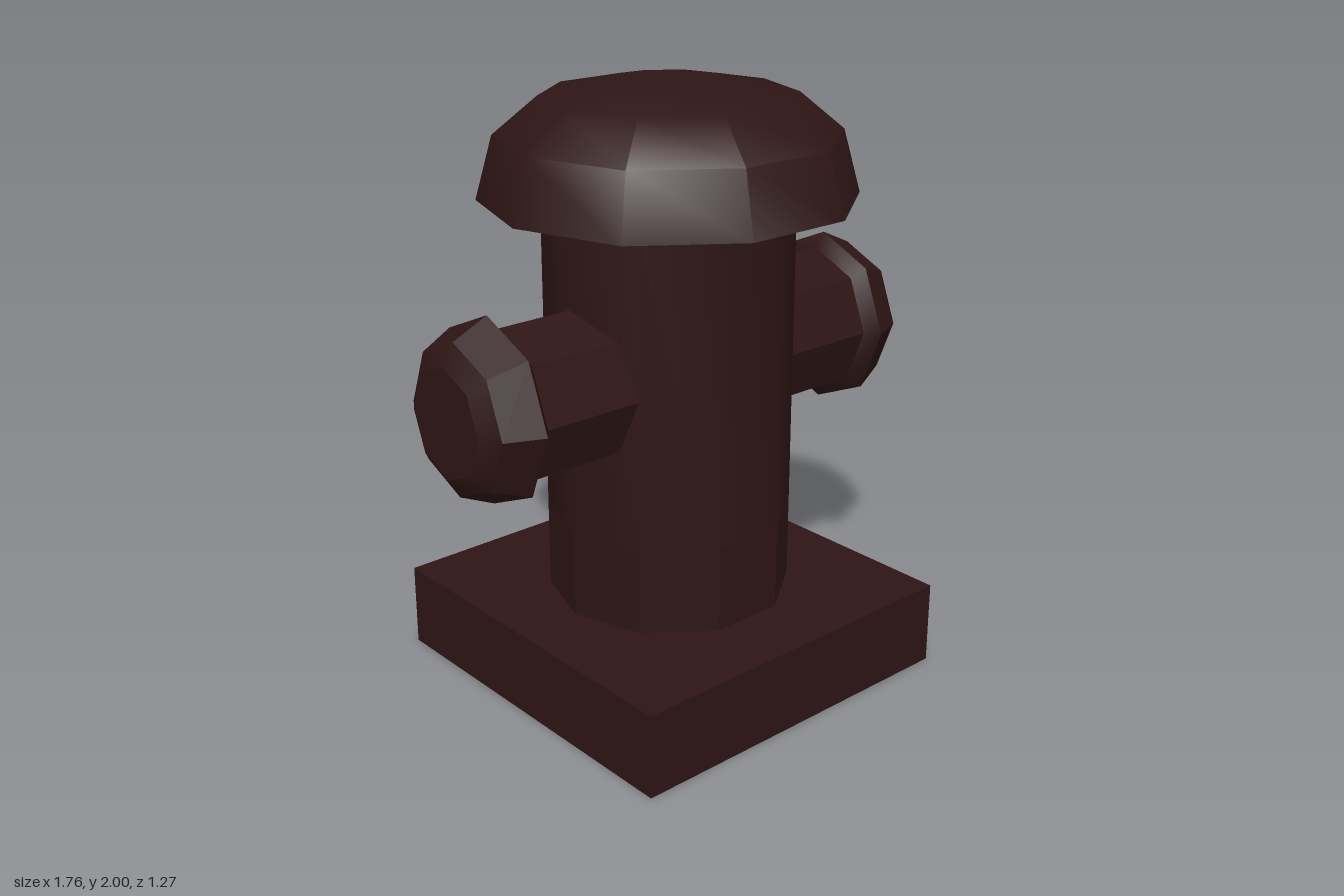
import * as THREE from 'three';
import { toCreasedNormals } from 'three/addons/utils/BufferGeometryUtils.js';

const material = new THREE.MeshStandardMaterial({ color: 0x2e1515 });

function addMesh(group, name, geometry) {
  const mesh = new THREE.Mesh(geometry, material);
  mesh.name = name;
  group.add(mesh);
  return mesh;
}

// Faceted turned part from [radius, height] pairs, listed bottom to top, with a corner on the x axis
function turned(profile, sides, crease) {
  const points = profile.map(([r, y]) => new THREE.Vector2(r, y));
  return toCreasedNormals(new THREE.LatheGeometry(points, sides, Math.PI / 2), crease);
}

export function createModel() {
  const hydrant = new THREE.Group();
  hydrant.name = 'fireHydrant';

  // Square foot
  const base = addMesh(hydrant, 'base', new THREE.BoxGeometry(1.26, 0.285, 1.275));
  base.position.y = 0.1425;

  // Barrel: crisp facets at the foot, smooth above
  addMesh(hydrant, 'barrelFoot', turned([[0.41, 0.28], [0.41, 0.58]], 10, 0.1));
  addMesh(hydrant, 'barrel', turned([[0.41, 0.58], [0.41, 1.61]], 10, 0.7));

  // Domed cap with overhanging rim
  addMesh(hydrant, 'cap', turned([
    [0, 1.595], [0.41, 1.595], [0.612, 1.635], [0.555, 1.84], [0.41, 1.96], [0.207, 2], [0, 2],
  ], 10, 0.66));

  // Side outlets, slightly flattened front to back
  for (const side of [1, -1]) {
    const outlet = new THREE.Group();
    outlet.name = side > 0 ? 'leftOutlet' : 'rightOutlet';
    addMesh(outlet, 'pipe', turned([[0.255, 0.3], [0.255, 0.69]], 8, 0.5));
    addMesh(outlet, 'outletCap', turned([
      [0, 0.68], [0.255, 0.68], [0.305, 0.717], [0.248, 0.84], [0.18, 0.88], [0, 0.88],
    ], 8, 0.5));
    outlet.rotation.z = -side * Math.PI / 2;
    outlet.scale.z = 0.94;
    outlet.position.y = 1.085;
    hydrant.add(outlet);
  }
  return hydrant;
}
